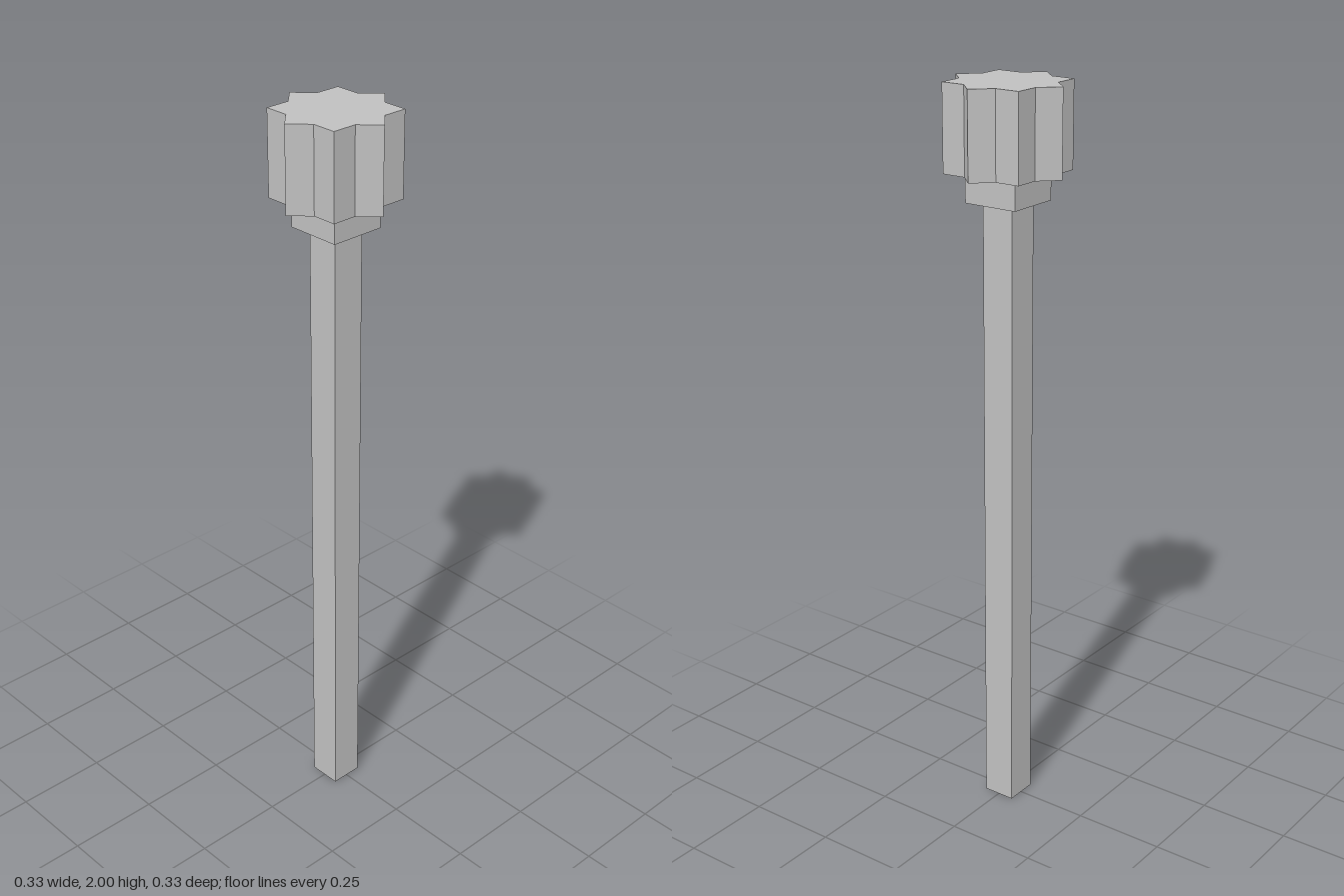
import * as THREE from 'three';

export function createModel() {
  const group = new THREE.Group();
  const gray = new THREE.MeshStandardMaterial({ color: 0xc0c0c0 });
  gray.name = 'plain gray';

  function add(name, geometry, y) {
    const mesh = new THREE.Mesh(geometry, gray);
    mesh.name = name;
    mesh.position.y = y;
    group.add(mesh);
  }

  // Square shaft and the wider square collar on top of it
  const shaftTop = 1.7, collarTop = 1.775;
  add('shaft', new THREE.BoxGeometry(0.09, shaftTop, 0.09), shaftTop / 2);
  add('collar', new THREE.BoxGeometry(0.153, collarTop - shaftTop, 0.153), (shaftTop + collarTop) / 2);

  // Eight-pointed star head: two squares overlapped at 45 degrees
  const outer = 0.163;
  const inner = outer * Math.SQRT1_2 / Math.cos(Math.PI / 8);
  const points = [];
  for (let i = 0; i < 16; i++) {
    const r = i % 2 ? inner : outer;
    const a = (i * Math.PI) / 8;
    points.push(new THREE.Vector2(r * Math.cos(a), r * Math.sin(a)));
  }
  const head = new THREE.ExtrudeGeometry(new THREE.Shape(points), { depth: 2 - collarTop, bevelEnabled: false });
  head.rotateX(-Math.PI / 2);
  add('starHead', head, collarTop);

  return group;
}
